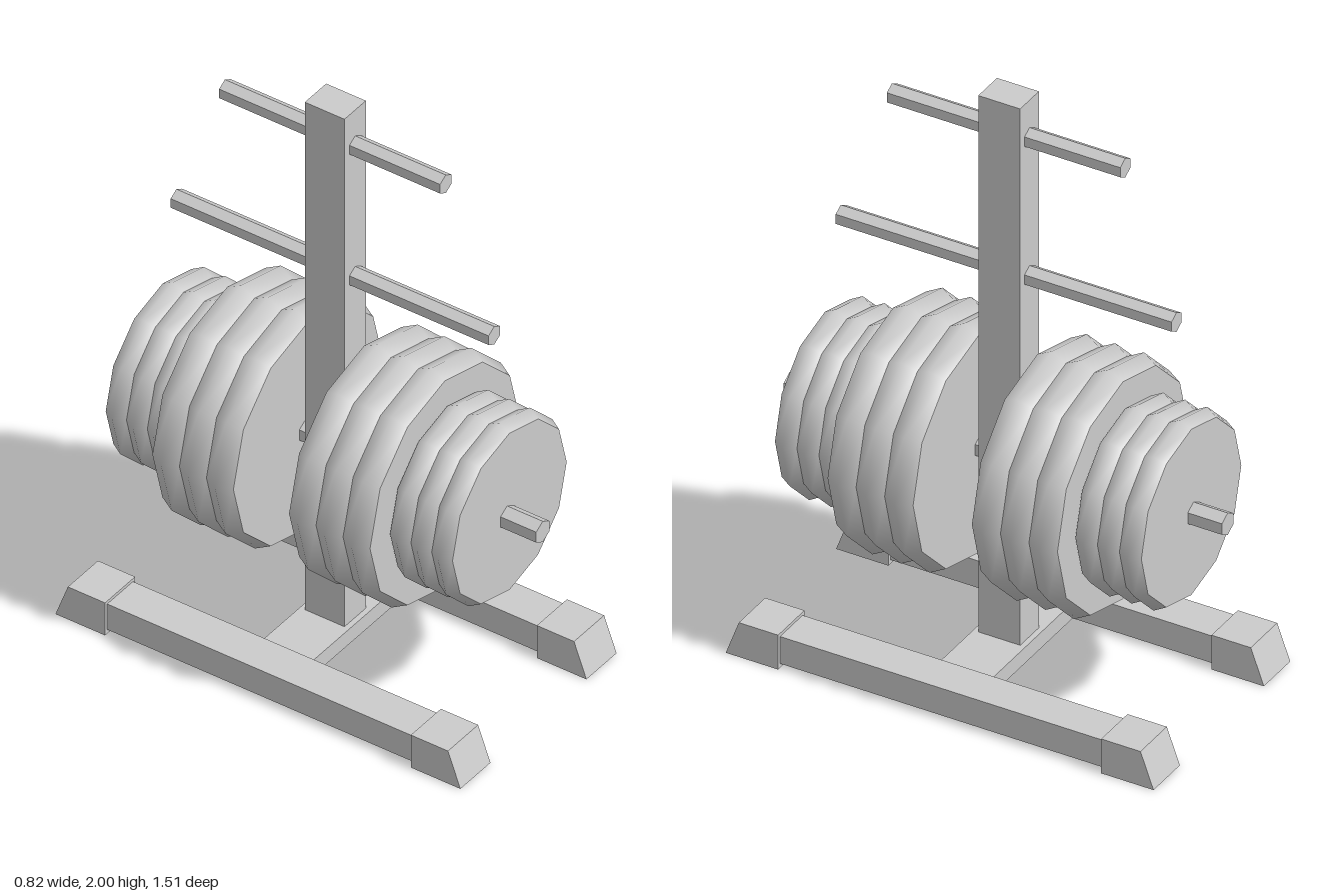
import * as THREE from 'three';
import { mergeGeometries } from 'three/addons/utils/BufferGeometryUtils.js';

export function createModel() {
  const group = new THREE.Group();
  const smooth = new THREE.MeshStandardMaterial({ color: 0xcccccc });
  const flat = new THREE.MeshStandardMaterial({ color: 0xcccccc, flatShading: true });

  function add(name, geometry, x, y, z, material = flat) {
    const mesh = new THREE.Mesh(geometry, material);
    mesh.name = name;
    mesh.position.set(x, y, z);
    group.add(mesh);
    return mesh;
  }

  const postX = -0.013;

  // Upright post and the crossbar it stands on
  add('post', new THREE.BoxGeometry(0.11, 1.905, 0.144), postX, 1.0475, 0);
  add('crossbar', new THREE.BoxGeometry(0.52, 0.056, 0.18), -0.01, 0.067, 0);

  // Sloped end cap: profile in the z-y plane, extruded across x
  const footWidth = 0.155;
  const footShape = new THREE.Shape([
    new THREE.Vector2(0.555, 0),
    new THREE.Vector2(0.735, 0),
    new THREE.Vector2(0.69, 0.122),
    new THREE.Vector2(0.555, 0.122),
  ]);
  const footGeometry = new THREE.ExtrudeGeometry(footShape, { depth: footWidth, bevelEnabled: false })
    .rotateY(-Math.PI / 2)
    .translate(footWidth / 2, 0, 0);

  // Two base rails, each with a foot at both ends
  for (const [side, x] of [['right', -0.334], ['left', 0.315]]) {
    add(side + 'Rail', new THREE.BoxGeometry(0.133, 0.096, 1.13), x, 0.063, 0);
    add(side + 'FrontFoot', footGeometry, x, 0, 0);
    add(side + 'BackFoot', footGeometry, x, 0, 0).rotation.y = Math.PI;
  }

  // Hexagonal pegs running through the post
  for (const [name, y, halfLength, radius] of [
    ['lowerPeg', 0.721, 0.753, 0.039],
    ['middlePeg', 1.379, 0.577, 0.034],
    ['upperPeg', 1.869, 0.401, 0.034],
  ]) {
    const peg = new THREE.CylinderGeometry(radius, radius, halfLength * 2, 6).rotateX(Math.PI / 2);
    add(name, peg, postX, y, 0);
  }

  // Twelve-sided weight plate with a ridged rim and flat faces
  function plateGeometry(radius, faceRadius, thickness) {
    const h = thickness / 2;
    const rim = new THREE.LatheGeometry([
      new THREE.Vector2(faceRadius, -h),
      new THREE.Vector2(radius, 0),
      new THREE.Vector2(faceRadius, h),
    ], 12).rotateX(Math.PI / 2);
    const front = new THREE.CircleGeometry(faceRadius, 12).translate(0, 0, h);
    const back = new THREE.CircleGeometry(faceRadius, 12).rotateY(Math.PI).translate(0, 0, -h);
    return mergeGeometries([rim, front, back]);
  }

  // Three large and three small plates on each side of the post
  for (const [name, radius, faceRadius, thickness, start] of [
    ['largePlate', 0.412, 0.386, 0.098, 0.101],
    ['smallPlate', 0.315, 0.294, 0.0755, 0.403],
  ]) {
    const geometry = plateGeometry(radius, faceRadius, thickness);
    for (const dir of [1, -1]) {
      for (let i = 0; i < 3; i++) {
        const z = dir * (start + (i + 0.5) * thickness) - 0.006;
        add(name, geometry, 0, 0.731, z, smooth);
      }
    }
  }

  return group;
}
